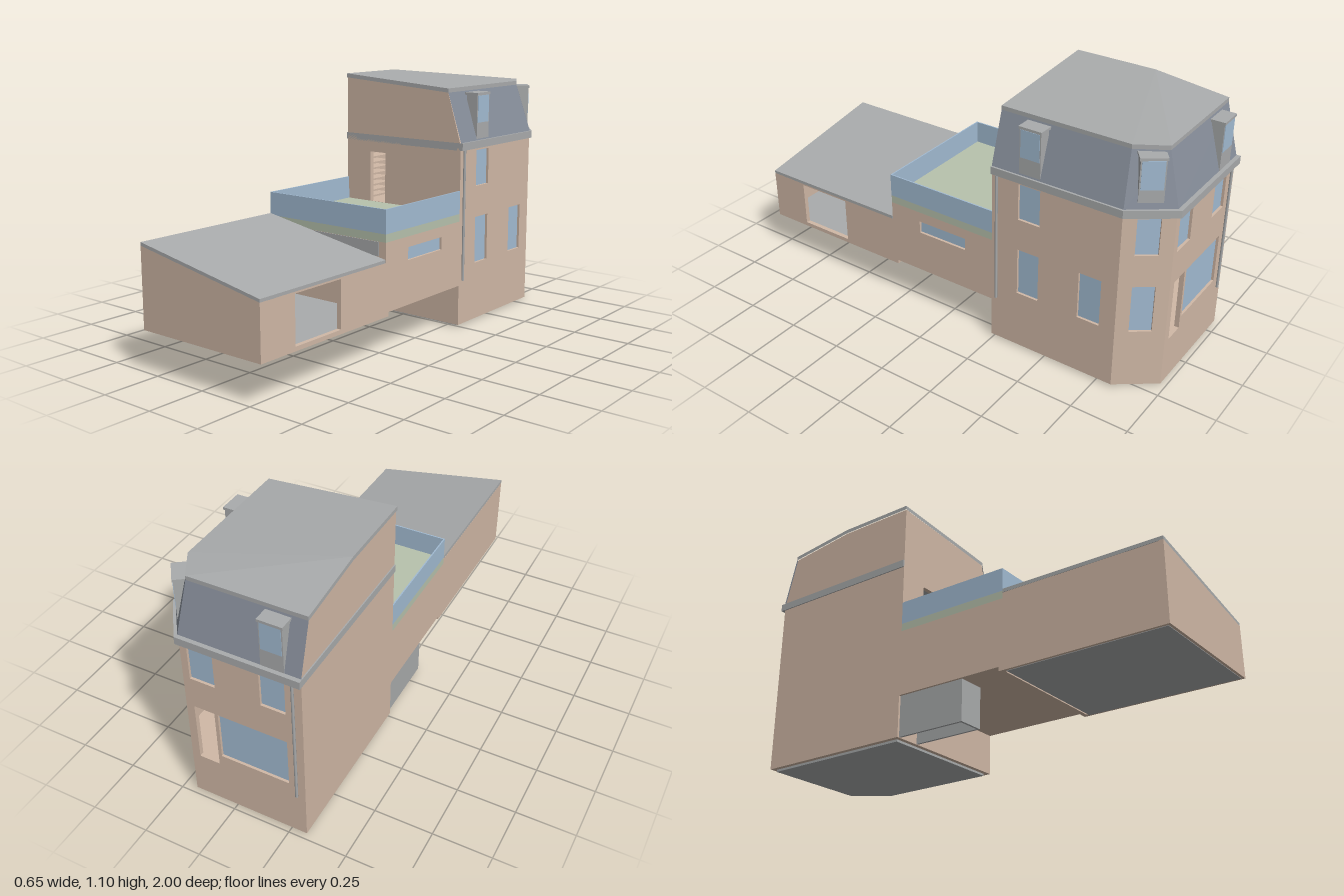
import * as THREE from 'three';

const mat = (name, color, side = THREE.FrontSide) => {
  const m = new THREE.MeshStandardMaterial({ color, side });
  m.name = name;
  return m;
};

export function createModel() {
  const model = new THREE.Group();
  model.name = 'house';
  const tan = mat('tan render', 0xd0b8a6);
  const grey = mat('roof grey', 0xa9abac);
  const blue = mat('window blue', 0xa2bbd2);
  const green = mat('terrace green', 0xb7c2ad);
  const slate = mat('mansard slate', 0x868d99, THREE.DoubleSide);

  const add = (parent, name, geo, material) => {
    const mesh = new THREE.Mesh(geo, material);
    mesh.name = name;
    parent.add(mesh);
    return mesh;
  };
  const box = (parent, name, material, x0, x1, y0, y1, z0, z1) => {
    const geo = new THREE.BoxGeometry(x1 - x0, y1 - y0, z1 - z0);
    geo.translate((x0 + x1) / 2, (y0 + y1) / 2, (z0 + z1) / 2);
    return add(parent, name, geo, material);
  };
  // Group whose local x runs from a to b (plan x, z) and whose local z points outward
  const frame = (name, a, b) => {
    const g = new THREE.Group();
    g.name = name;
    const u = new THREE.Vector3(b[0] - a[0], 0, b[1] - a[1]).normalize();
    const y = new THREE.Vector3(0, 1, 0);
    g.applyMatrix4(new THREE.Matrix4().makeBasis(u, y, u.clone().cross(y)));
    g.position.set(a[0], 0, a[1]);
    model.add(g);
    return g;
  };
  // Wall panel; openings are [u0, u1, y0, y1, glazed]
  const wall = (name, a, b, outline, openings = [], material = tan, t = 0.02) => {
    const g = frame(name, a, b);
    const shape = new THREE.Shape(outline.map(p => new THREE.Vector2(...p)));
    for (const [u0, u1, y0, y1, glazed] of openings) {
      shape.holes.push(new THREE.Path([[u0, y0], [u0, y1], [u1, y1], [u1, y0]].map(p => new THREE.Vector2(...p))));
      if (glazed) box(g, 'windowPane', blue, u0, u1, y0, y1, -0.017, -0.011);
    }
    const geo = new THREE.ExtrudeGeometry(shape, { depth: t, bevelEnabled: false });
    geo.translate(0, 0, -t);
    add(g, name + 'Panel', geo, material);
  };
  const rect = (w, y0, y1) => [[0, y0], [w, y0], [w, y1], [0, y1]];
  // Horizontal slab from a plan outline
  const slab = (name, material, plan, y0, y1) => {
    const shape = new THREE.Shape(plan.map(([x, z]) => new THREE.Vector2(x, -z)));
    const geo = new THREE.ExtrudeGeometry(shape, { depth: y1 - y0, bevelEnabled: false });
    geo.rotateX(-Math.PI / 2).translate(0, y0, 0);
    add(model, name, geo, material);
  };
  const faces = (name, material, tris) => {
    const geo = new THREE.BufferGeometry();
    geo.setAttribute('position', new THREE.Float32BufferAttribute(tris.flat(2), 3));
    geo.computeVertexNormals();
    add(model, name, geo, material);
  };
  const strip = (lo, hi) => {
    const tris = [];
    for (let i = 0; i < lo.length - 1; i++) {
      tris.push([lo[i], lo[i + 1], hi[i + 1]], [lo[i], hi[i + 1], hi[i]]);
    }
    return tris;
  };

  // Tower walls, with one chamfered corner
  wall('towerFront', [-0.32, -0.24], [0.31, -0.24],
    [[0, 0.01], [0.63, 0.01], [0.63, 0.81], [0.56, 1.04], [0, 1.078]], [[0.135, 0.22, 0.515, 0.745, false]]);
  wall('towerRight', [0.31, -0.24], [0.31, -0.82], rect(0.58, 0.01, 0.8),
    [[0.125, 0.225, 0.62, 0.78, true], [0.125, 0.225, 0.27, 0.48, true], [0.41, 0.51, 0.27, 0.48, true]]);
  wall('towerChamfer', [0.31, -0.82], [0.19, -0.98], rect(0.2, 0.01, 0.8),
    [[0.055, 0.145, 0.62, 0.78, true], [0.055, 0.145, 0.27, 0.48, true]]);
  wall('towerBack', [0.19, -0.98], [-0.32, -0.98], rect(0.51, 0.01, 0.8),
    [[0.03, 0.14, 0.62, 0.78, true], [0.335, 0.44, 0.62, 0.78, true],
      [0.035, 0.125, 0.21, 0.48, false], [0.14, 0.44, 0.26, 0.48, true]]);
  wall('towerLeft', [-0.32, -0.98], [-0.32, -0.24],
    [[0, 0.01], [0.74, 0.01], [0.74, 1.078], [0.38, 1.078], [0.06, 1.04], [0, 0.81]]);

  // Tower floors and base
  const inner = [[-0.3, -0.26], [0.288, -0.26], [0.288, -0.81], [0.18, -0.96], [-0.3, -0.96]];
  slab('baseSlab', grey, inner, 0, 0.02);
  slab('lowerFloor', tan, inner, 0.19, 0.205);
  slab('upperFloor', tan, inner, 0.495, 0.51);
  box(model, 'stairHallPanel', green, -0.22, -0.06, 0.51, 0.79, -0.46, -0.45);
  for (let i = 0; i < 9; i++) {
    box(model, 'stairTread', tan, -0.3, -0.2, 0.525 + i * 0.026, 0.533 + i * 0.026, -0.4, -0.27);
  }

  // Cornice, mansard slopes and shallow upper roof
  slab('cornice', grey, [[-0.325, -0.24], [0.32, -0.24], [0.32, -0.825], [0.195, -1], [-0.325, -1]], 0.79, 0.823);
  const eaves = [[0.312, 0.82, -0.24], [0.312, 0.82, -0.822], [0.191, 0.82, -0.983], [-0.322, 0.82, -0.983]];
  const F = [0.243, 1.055, -0.238], E = [0.243, 1.055, -0.803], D = [0.172, 1.055, -0.923];
  const C = [-0.324, 1.058, -0.923], B = [-0.324, 1.096, -0.6], A = [-0.324, 1.096, -0.238];
  const lower = p => [p[0], p[1] - 0.018, p[2]];
  faces('mansardSlopes', slate, strip(eaves, [F, E, D, C].map(lower)));
  const rim = [F, E, D, C, B, A, F];
  faces('upperRoof', grey, [...strip(rim.map(lower), rim),
    [F, E, B], [F, B, A], [E, D, B], [D, C, B]]);

  // Dormers on the three slopes
  for (const [a, b] of [
    [[0.313, -0.362], [0.313, -0.466]],
    [[0.282, -0.858], [0.22, -0.941]],
    [[-0.155, -0.987], [-0.26, -0.987]],
  ]) {
    const g = frame('dormer', a, b);
    box(g, 'dormerBody', grey, 0.004, 0.1, 0.82, 1.02, -0.058, -0.004);
    box(g, 'dormerRoof', grey, 0, 0.104, 1.02, 1.031, -0.066, 0);
    box(g, 'dormerWindow', blue, 0.009, 0.095, 0.9, 1.018, -0.006, -0.002);
  }

  // Downpipes
  for (const [x, z] of [[0.315, -0.265], [-0.285, -0.986]]) {
    const pipe = add(model, 'downpipe', new THREE.CylinderGeometry(0.006, 0.006, 0.58, 8), grey);
    pipe.position.set(x, 0.5, z);
  }

  // Raised link with roof terrace
  wall('linkRight', [0.31, 0.285], [0.31, -0.24], rect(0.525, 0.19, 0.48), [[0.15, 0.39, 0.38, 0.435, true]]);
  wall('linkLeft', [-0.32, -0.24], [-0.32, 0.285], rect(0.525, 0.19, 0.48));
  wall('linkFront', [-0.32, 0.285], [0.31, 0.285], rect(0.63, 0.172, 0.48));
  box(model, 'linkUnderside', tan, -0.319, 0.309, 0.19, 0.205, -0.24, 0.284);
  box(model, 'linkFrontPanel', grey, -0.12, 0.275, 0.42, 0.479, 0.284, 0.288);
  box(model, 'terraceDeck', green, -0.32, 0.31, 0.48, 0.514, -0.24, 0.285);
  box(model, 'parapetFront', blue, -0.32, 0.31, 0.514, 0.615, 0.28, 0.286);
  for (const x of [-0.32, 0.304]) {
    box(model, 'parapetSide', blue, x, x + 0.006, 0.514, 0.615, -0.24, 0.28);
  }

  // Front wing with a single-pitch roof and a side opening
  wall('wingFront', [-0.32, 1], [0.31, 1], [[0, 0.172], [0.63, 0.172], [0.63, 0.397], [0, 0.508]]);
  wall('wingRight', [0.31, 1], [0.31, 0.285], rect(0.715, 0.172, 0.397), [[0.18, 0.437, 0.19, 0.39, false]]);
  wall('wingLeft', [-0.32, 0.285], [-0.32, 1], rect(0.715, 0.172, 0.505));
  box(model, 'wingFloor', grey, -0.308, 0.298, 0.17, 0.188, 0.295, 0.988);
  wall('wingRoof', [-0.32, 1], [0.31, 1],
    [[0, 0.506], [0.63, 0.396], [0.63, 0.41], [0, 0.522]], [], grey, 0.714);

  // Entrance lobby under the link, open below
  wall('lobbyFront', [-0.31, 0.08], [-0.19, 0.08], rect(0.12, 0.012, 0.19), [], grey, 0.01);
  wall('lobbyRight', [-0.19, 0.08], [-0.19, -0.24], rect(0.32, 0.012, 0.19), [], grey, 0.01);
  wall('lobbyLeft', [-0.31, -0.24], [-0.31, 0.08], rect(0.32, 0.012, 0.19), [], grey, 0.01);

  return model;
}
